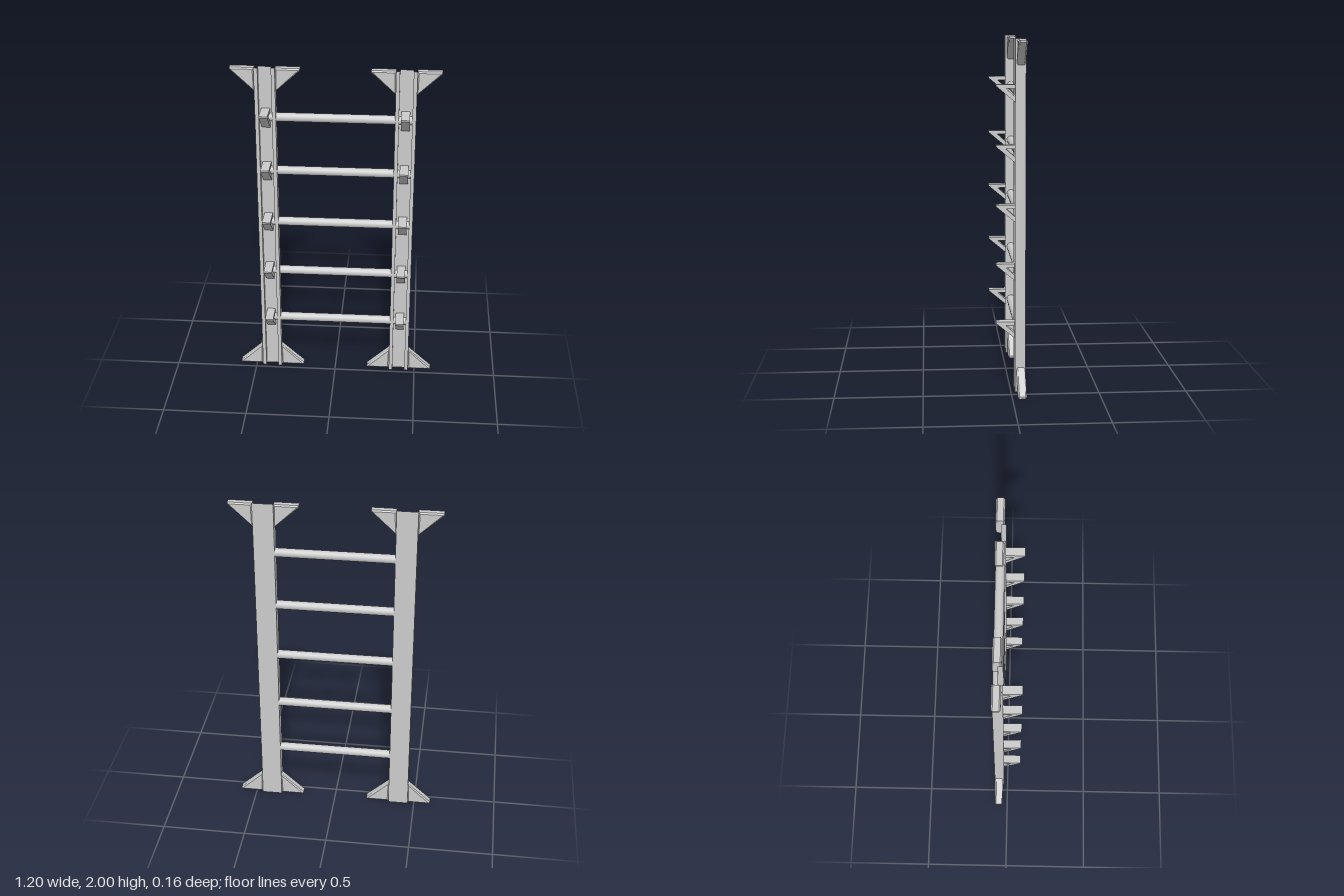
import * as THREE from 'three';

const material = new THREE.MeshStandardMaterial({ color: 0xcccccc });

const HEIGHT = 2, POST_X = 0.4, HALF_POST = 0.06;
const FRONT_Z = -0.022, GROOVE_Z = -0.05, BACK_Z = -0.082, RUNG_Z = -0.055;
const RUNG_YS = [0, 1, 2, 3, 4].map(i => 0.35 + i * 0.336);

function part(name, geometry, x = 0, y = 0, z = 0) {
  const mesh = new THREE.Mesh(geometry, material);
  mesh.name = name;
  mesh.position.set(x, y, z);
  return mesh;
}

function shapeOf(points) {
  return new THREE.Shape(points.map(([x, y]) => new THREE.Vector2(x, y)));
}

// Hollow post with open ends and a groove down its front: walls raised on a closed outline
function postGeometry() {
  const w = HALF_POST, g = 0.038;
  const outline = [
    [-w, FRONT_Z], [-g, FRONT_Z], [-g, GROOVE_Z], [g, GROOVE_Z],
    [g, FRONT_Z], [w, FRONT_Z], [w, BACK_Z], [-w, BACK_Z],
  ];
  const positions = [];
  outline.forEach(([ax, az], i) => {
    const [bx, bz] = outline[(i + 1) % outline.length];
    positions.push(ax, 0, az, bx, 0, bz, bx, HEIGHT, bz);
    positions.push(ax, 0, az, bx, HEIGHT, bz, ax, HEIGHT, az);
  });
  const geometry = new THREE.BufferGeometry();
  geometry.setAttribute('position', new THREE.Float32BufferAttribute(positions, 3));
  geometry.computeVertexNormals();
  return geometry;
}

// Triangular foot brace with chamfered edges, drawn for the +x side at the bottom
function braceGeometry() {
  const depth = 0.05, bevel = 0.008;
  const shape = shapeOf([[HALF_POST, 0], [0.2, 0], [0.2, 0.012], [HALF_POST, 0.14]]);
  const geometry = new THREE.ExtrudeGeometry(shape, {
    depth: depth - 2 * bevel, bevelEnabled: true, bevelSegments: 1,
    bevelSize: bevel, bevelThickness: bevel, bevelOffset: -bevel,
  });
  return geometry.translate(0, 0, bevel - depth / 2);
}

// Hook: a level top bar and a slanting strut, side outline swept across its width
function hookGeometry() {
  const width = 0.05;
  const shape = shapeOf([
    [GROOVE_Z, 0.033], [0.026, 0.033], [GROOVE_Z, -0.035], [GROOVE_Z, -0.065],
    [0.082, 0.046], [0.082, 0.055], [GROOVE_Z, 0.055],
  ]);
  const geometry = new THREE.ExtrudeGeometry(shape, { depth: width, bevelEnabled: false });
  return geometry.translate(0, 0, -width / 2).rotateY(-Math.PI / 2);
}

export function createModel() {
  const model = new THREE.Group();
  model.name = 'ladderRack';
  const post = postGeometry(), brace = braceGeometry(), hook = hookGeometry();
  const rung = new THREE.CylinderGeometry(0.026, 0.026, 0.9, 24).rotateZ(Math.PI / 2);

  for (const side of [-1, 1]) {
    const upright = new THREE.Group();
    upright.name = side > 0 ? 'leftUpright' : 'rightUpright';
    upright.position.x = side * POST_X;
    upright.add(part('post', post));

    // Braces on both sides at the foot and, turned over, at the head
    for (const dir of [-1, 1]) {
      for (const top of [false, true]) {
        const mesh = part(top ? 'topBrace' : 'footBrace', brace, 0, top ? HEIGHT - 0.005 : 0.005, RUNG_Z);
        if (top) mesh.rotation.x = Math.PI;
        if (dir < 0) mesh.rotation.y = Math.PI;
        upright.add(mesh);
      }
    }

    // One hook in the groove at every rung
    for (const y of RUNG_YS) upright.add(part('hook', hook, 0, y, 0));
    model.add(upright);
  }

  // Rungs run through both posts
  for (const y of RUNG_YS) model.add(part('rung', rung, 0, y, RUNG_Z));
  return model;
}
